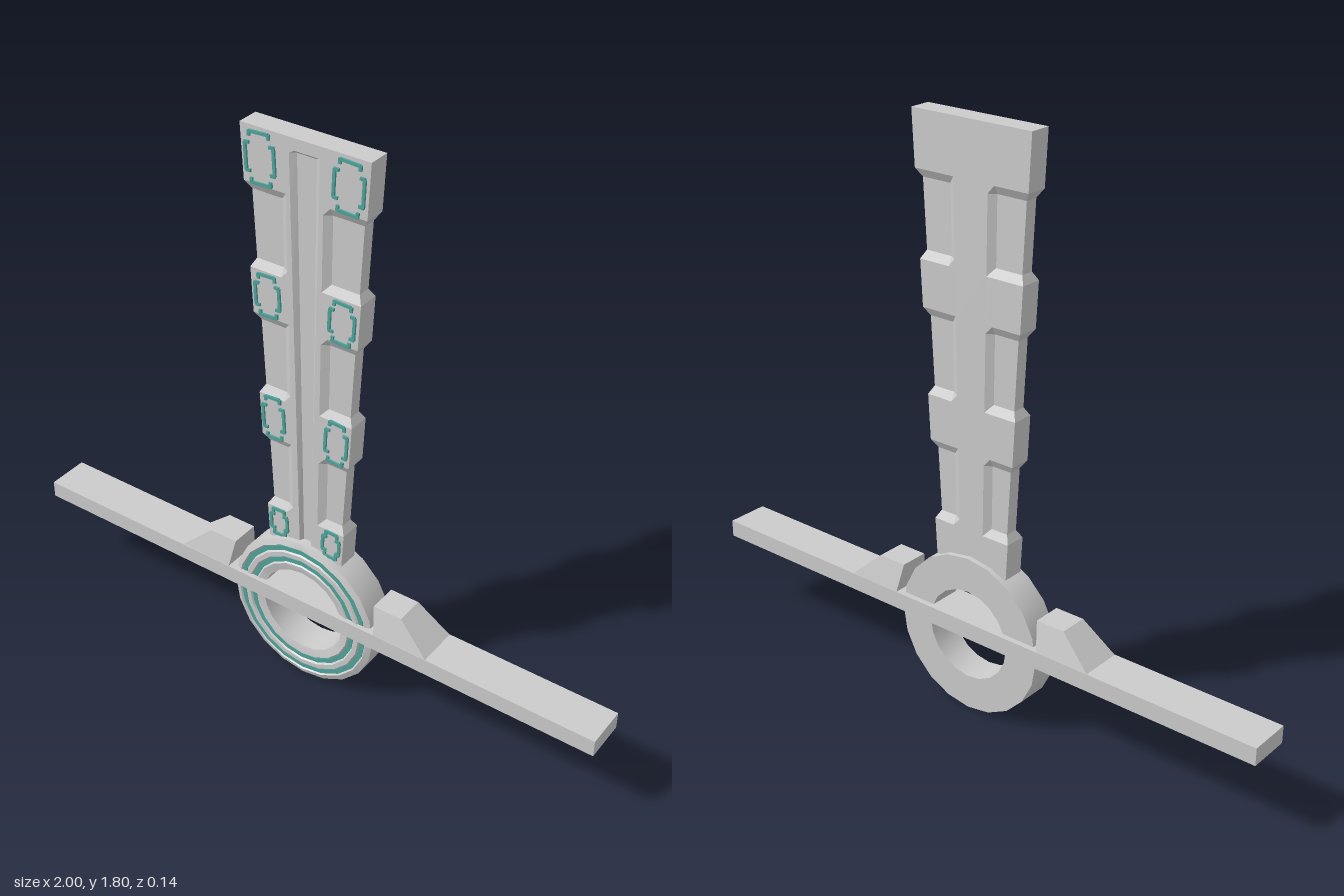
import * as THREE from 'three';
import { toCreasedNormals } from 'three/addons/utils/BufferGeometryUtils.js';

const grey = new THREE.MeshStandardMaterial({ color: 0xcccccc });
const greyFlat = new THREE.MeshStandardMaterial({ color: 0xcccccc, flatShading: true });
const teal = new THREE.MeshStandardMaterial({ color: 0x4fa39b });

function addMesh(parent, name, geometry, material) {
  const mesh = new THREE.Mesh(geometry, material);
  mesh.name = name;
  parent.add(mesh);
  return mesh;
}

// Skin rows of equal-length loops, with a fan cap at both ends
function loft(rows) {
  const n = rows[0].length, index = [];
  for (let r = 0; r < rows.length - 1; r++) {
    for (let i = 0; i < n; i++) {
      const j = (i + 1) % n;
      const a = r * n + i, b = r * n + j, c = b + n, d = a + n;
      index.push(a, b, c, a, c, d);
    }
  }
  const top = (rows.length - 1) * n;
  for (let i = 1; i < n - 1; i++) {
    index.push(0, i + 1, i, top, top + i, top + i + 1);
  }
  const geometry = new THREE.BufferGeometry();
  geometry.setAttribute('position', new THREE.Float32BufferAttribute(rows.flat(2), 3));
  geometry.setIndex(index);
  const flat = geometry.toNonIndexed();
  flat.computeVertexNormals();
  return flat;
}

// Blade cross-section: thick blocks or thinned edges, with a front groove
function bladeSection([y, recess, groove]) {
  const t = (y - 0.48) / 1.32, z = 0.034;
  const edge = 0.13 + 0.075 * t - 0.015 * recess;
  const ridge = 0.042 + 0.02 * t;
  const lip = 0.02 + 0.029 * t;
  const low = z - 0.014 * recess;
  const back = [[edge, low], [ridge + 0.022, low], [ridge, z]];
  const front = [...back, [lip, z], [lip * 0.65, z - 0.012 * groove]];
  return [
    ...front.map(([x, d]) => [-x, y, d]),
    ...front.slice().reverse().map(([x, d]) => [x, y, d]),
    ...back.map(([x, d]) => [x, y, -d]),
    ...back.slice().reverse().map(([x, d]) => [-x, y, -d]),
  ];
}

// Broken rectangular outline with hooked ends
function createOutline(w, h) {
  const g = new THREE.Group();
  const line = 0.009, depth = 0.009;
  const bar = (x, y, bw, bh) =>
    addMesh(g, 'outlineBar', new THREE.BoxGeometry(bw, bh, depth), teal).position.set(x, y, 0);
  for (const s of [-1, 1]) {
    bar(0, s * h / 2, w * 0.68, line);
    bar(s * w / 2, 0, line, h * 0.55);
    for (const u of [-1, 1]) {
      bar(u * w * 0.34, s * (h / 2 - 0.006), line, 0.016);
      bar(s * (w / 2 - 0.006), u * h * 0.275, 0.016, line);
    }
  }
  return g;
}

export function createModel() {
  const model = new THREE.Group();
  model.name = 'model';

  // Blade with four pairs of blocks
  const rows = [[0.48, 0, 0], [0.49, 0, 1]];
  for (const [a, b] of [[0.595, 0.845], [0.985, 1.245], [1.385, 1.64]]) {
    rows.push([a, 0, 1], [a + 0.025, 1, 1], [b - 0.025, 1, 1], [b, 0, 1]);
  }
  rows.push([1.76, 0, 1], [1.77, 0, 0], [1.805, 0, 0]);
  addMesh(model, 'blade', loft(rows.map(bladeSection)), greyFlat);

  // Teal outlines on the blocks
  const pads = [[0.14, 1.717, 0.092, 0.145], [0.123, 1.312, 0.08, 0.125],
    [0.108, 0.915, 0.072, 0.135], [0.093, 0.545, 0.058, 0.09]];
  for (const [x, y, w, h] of pads) {
    for (const s of [-1, 1]) {
      const outline = createOutline(w, h);
      outline.name = 'blockOutline';
      outline.position.set(s * x, y, 0.035);
      outline.rotation.z = -s * 0.05;
      model.add(outline);
    }
  }

  // Ring with raised front ridges
  const lathe = (points) => toCreasedNormals(
    new THREE.LatheGeometry(points.map(([r, z]) => new THREE.Vector2(r, z)), 20).rotateX(Math.PI / 2), 0.5);
  const ring = new THREE.Group();
  ring.name = 'ring';
  ring.position.y = 0.257;
  model.add(ring);
  addMesh(ring, 'ringBody', lathe([
    [0.145, -0.05], [0.255, -0.05], [0.255, 0.048], [0.236, 0.056], [0.231, 0.05],
    [0.216, 0.05], [0.211, 0.057], [0.196, 0.057], [0.191, 0.05], [0.176, 0.05],
    [0.171, 0.056], [0.145, 0.05], [0.145, -0.05],
  ]), grey);
  for (const r of [0.176, 0.216]) {
    addMesh(ring, 'ringInlay', lathe([
      [r, 0.045], [r + 0.015, 0.045], [r + 0.015, 0.053], [r, 0.053], [r, 0.045],
    ]), teal);
  }

  // Crossbar through the ring
  addMesh(model, 'crossbar', new THREE.BoxGeometry(2, 0.055, 0.136), greyFlat).position.y = 0.2825;

  // Tapered shoulders on the crossbar
  const rect = (x0, x1, y, z) => [[x0, y, z], [x1, y, z], [x1, y, -z], [x0, y, -z]];
  for (const s of [-1, 1]) {
    const span = (inner, outer) => (s > 0 ? [inner, outer] : [-outer, -inner]);
    addMesh(model, s > 0 ? 'leftShoulder' : 'rightShoulder', loft([
      rect(...span(0.27, 0.455), 0.305, 0.068),
      rect(...span(0.255, 0.35), 0.4, 0.046),
    ]), greyFlat);
  }
  return model;
}
